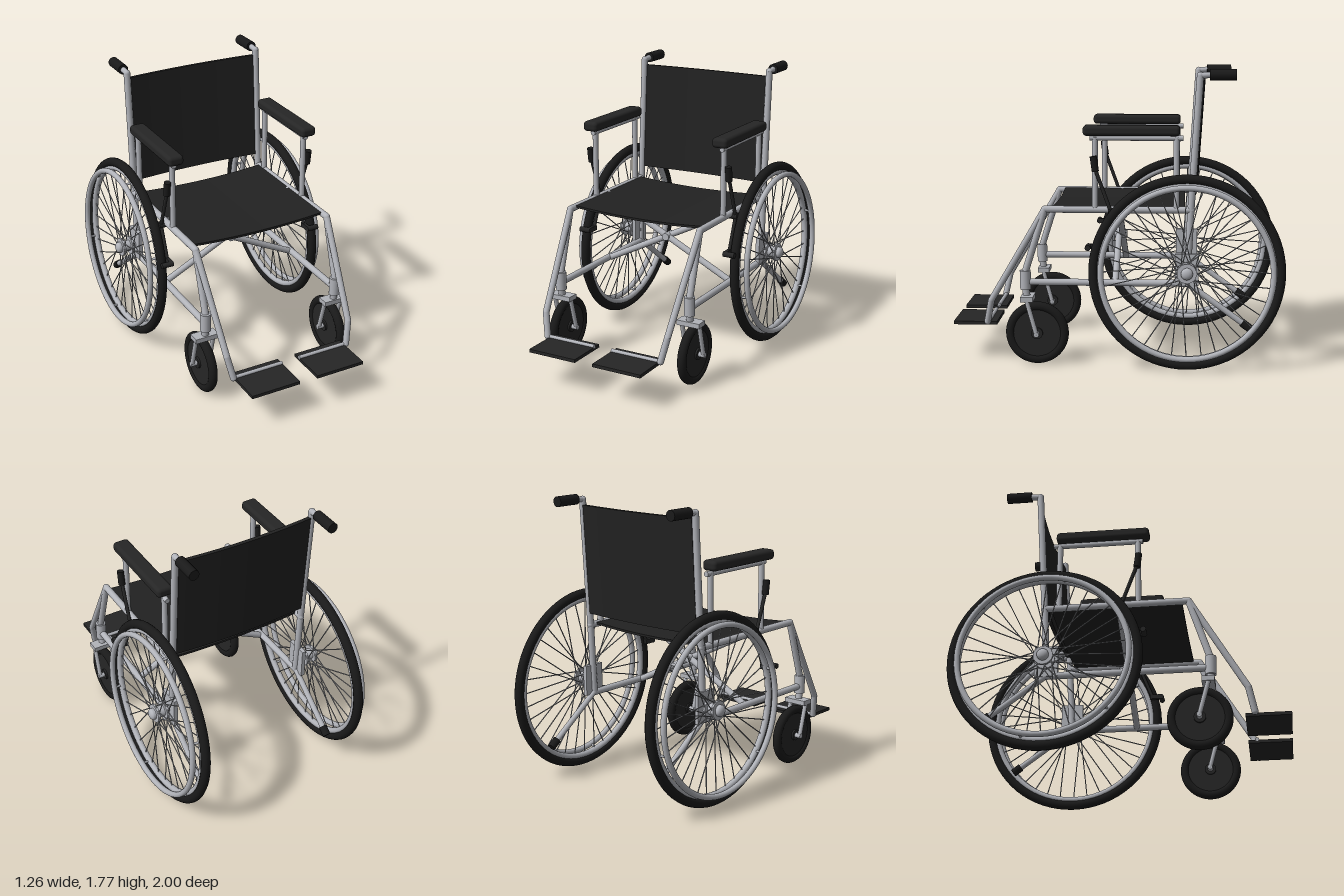
import * as THREE from 'three';
import { RoundedBoxGeometry } from 'three/addons/geometries/RoundedBoxGeometry.js';

const material = (name, color) => {
  const m = new THREE.MeshStandardMaterial({ color });
  m.name = name;
  return m;
};

export function createModel() {
  const steel = material('brushed steel', 0xb2b4ba);
  const rubber = material('black rubber', 0x1a1a1a);
  const fabric = material('black fabric', 0x222222);
  const plastic = material('dark plastic', 0x262626);
  const spokeSteel = material('spoke steel', 0x9a9ca0);
  const V = (x, y, z) => new THREE.Vector3(x, y, z);

  const add = (parent, name, geometry, mat, x = 0, y = 0, z = 0) => {
    const mesh = new THREE.Mesh(geometry, mat);
    mesh.name = name;
    mesh.position.set(x, y, z);
    parent.add(mesh);
    return mesh;
  };
  // Straight round bar between two points
  const rod = (parent, name, a, b, r, mat = steel, sides = 16) => {
    const mesh = add(parent, name, new THREE.CylinderGeometry(r, r, a.distanceTo(b), sides), mat);
    mesh.position.copy(a).add(b).multiplyScalar(0.5);
    mesh.quaternion.setFromUnitVectors(V(0, 1, 0), b.clone().sub(a).normalize());
    return mesh;
  };
  // Bent tube with round joints
  const pipe = (parent, name, points, r, mat = steel) => {
    points.forEach((p, i) => {
      if (i) rod(parent, name, points[i - 1], p, r, mat);
      add(parent, name + 'Joint', new THREE.SphereGeometry(r, 16, 10), mat, p.x, p.y, p.z);
    });
  };
  // Curved sheet of fabric, extruded along z
  const sheet = (halfWidth, bow, thick, depth) => {
    const s = new THREE.Shape();
    s.moveTo(-halfWidth, 0);
    s.quadraticCurveTo(0, bow * 2, halfWidth, 0);
    s.lineTo(halfWidth, thick);
    s.quadraticCurveTo(0, bow * 2 + thick, -halfWidth, thick);
    return new THREE.ExtrudeGeometry(s, { depth, bevelEnabled: false, curveSegments: 20 });
  };

  const model = new THREE.Group();
  model.name = 'wheelchair';

  // Seat and backrest slings
  add(model, 'seat', sheet(0.435, -0.018, 0.014, 0.79), fabric, 0, 0.94, -0.4);
  const back = add(model, 'backrest', sheet(0.435, 0.022, 0.022, 0.68).rotateX(-Math.PI / 2), fabric, 0, 1.02, -0.435);
  back.rotation.x = -0.064;

  // Folding cross brace
  for (const s of [-1, 1]) {
    rod(model, 'crossBar', V(-0.44 * s, 0.94, 0.012 * s), V(0.44 * s, 0.5, 0.012 * s), 0.02);
  }
  rod(model, 'crossPivot', V(0, 0.72, -0.04), V(0, 0.72, 0.04), 0.024);

  // Large rear wheel, axis along local z (outward)
  const driveWheel = (s) => {
    const g = new THREE.Group();
    g.name = s > 0 ? 'leftDriveWheel' : 'rightDriveWheel';
    add(g, 'tyre', new THREE.TorusGeometry(0.551, 0.029, 14, 72), rubber);
    add(g, 'rim', new THREE.TorusGeometry(0.517, 0.02, 12, 72), steel);
    add(g, 'pushRim', new THREE.TorusGeometry(0.505, 0.018, 12, 72), steel, 0, 0, 0.06);
    for (let i = 0; i < 6; i++) {
      const a = (i / 6) * Math.PI * 2 + 0.3, c = Math.cos(a), n = Math.sin(a);
      rod(g, 'pushRimTab', V(0.515 * c, 0.515 * n, 0), V(0.505 * c, 0.505 * n, 0.06), 0.008, steel, 8);
    }
    // Spokes leave the two hub flanges at alternating slants
    for (let i = 0; i < 36; i++) {
      const a = (i / 36) * Math.PI * 2, h = a + (i % 4 < 2 ? 0.9 : -0.9), z = i % 2 ? 0.03 : -0.03;
      rod(g, 'spoke', V(0.045 * Math.cos(h), 0.045 * Math.sin(h), z),
        V(0.51 * Math.cos(a), 0.51 * Math.sin(a), 0), 0.0035, spokeSteel, 6);
    }
    rod(g, 'hub', V(0, 0, -0.05), V(0, 0, 0.05), 0.035, steel, 24);
    for (const z of [-0.03, 0.03]) rod(g, 'hubFlange', V(0, 0, z - 0.008), V(0, 0, z + 0.008), 0.058, steel, 28);
    const cap = add(g, 'hubCap', new THREE.SphereGeometry(0.035, 20, 12), steel, 0, 0, 0.05);
    cap.scale.z = 0.6;
    g.rotation.y = s * Math.PI / 2;
    const camber = new THREE.Group();
    camber.name = 'wheelCamber';
    camber.position.set(0.535 * s, 0.58, -0.415);
    camber.rotation.z = 0.034 * s;
    camber.add(g);
    return camber;
  };

  // Swivelling front wheel and its fork
  const caster = (s) => {
    const g = new THREE.Group();
    g.name = s > 0 ? 'leftCaster' : 'rightCaster';
    const x = 0.45 * s, P = (dx, y, z) => V(x + dx, y, z);
    add(g, 'casterTyre', new THREE.TorusGeometry(0.162, 0.028, 14, 48).rotateY(Math.PI / 2), rubber, x, 0.19, 0.48);
    rod(g, 'casterDisc', P(-0.018, 0.19, 0.48), P(0.018, 0.19, 0.48), 0.155, plastic, 40);
    rod(g, 'casterHub', P(-0.03, 0.19, 0.48), P(0.03, 0.19, 0.48), 0.035, plastic, 24);
    rod(g, 'casterAxle', P(-0.07, 0.19, 0.48), P(0.07, 0.19, 0.48), 0.016);
    for (const d of [-0.058, 0.058]) {
      pipe(g, 'forkLeg', [P(d, 0.39, 0.535), P(d, 0.19, 0.48)], 0.014);
    }
    add(g, 'forkCrown', new THREE.BoxGeometry(0.15, 0.03, 0.075), steel, x, 0.405, 0.535);
    rod(g, 'casterStem', P(0, 0.4, 0.54), P(0, 0.47, 0.55), 0.022);
    rod(g, 'casterBarrel', P(0, 0.455, 0.548), P(0, 0.57, 0.55), 0.033, steel, 20);
    return g;
  };

  for (const s of [-1, 1]) {
    const side = new THREE.Group();
    side.name = s > 0 ? 'leftSide' : 'rightSide';
    model.add(side);
    const P = (x, y, z) => V(x * s, y, z);
    side.add(driveWheel(s), caster(s));

    // Side frame
    pipe(side, 'seatRail', [P(0.45, 0.94, -0.44), P(0.45, 0.94, 0.43)], 0.021);
    pipe(side, 'lowerRail', [P(0.45, 0.5, -0.42), P(0.45, 0.5, 0.54)], 0.021);
    pipe(side, 'frontPost', [P(0.45, 0.94, 0.43), P(0.45, 0.56, 0.55)], 0.021);
    pipe(side, 'backPost', [P(0.45, 0.5, -0.415), P(0.45, 0.95, -0.437), P(0.45, 1.73, -0.485)], 0.021);
    pipe(side, 'pushHandle', [P(0.45, 1.73, -0.485), P(0.45, 1.735, -0.56)], 0.018);
    rod(side, 'handGrip', P(0.45, 1.735, -0.54), P(0.45, 1.735, -0.695), 0.032, rubber, 20);
    add(side, 'axlePlate', new THREE.BoxGeometry(0.025, 0.19, 0.14), steel, 0.46 * s, 0.585, -0.415);
    rod(side, 'axle', P(0.44, 0.58, -0.415), P(0.56, 0.58, -0.415), 0.018);

    // Rear anti-tip bar
    rod(side, 'antiTipBar', P(0.45, 0.5, -0.42), P(0.45, 0.25, -0.765), 0.018);
    rod(side, 'antiTipFoot', P(0.45, 0.265, -0.745), P(0.45, 0.228, -0.795), 0.025, rubber);

    // Armrest
    for (const z of [0.13, -0.35]) rod(side, 'armPost', P(0.45, 0.94, z), P(0.45, 1.37, z), 0.018);
    rod(side, 'armRail', P(0.45, 1.365, 0.16), P(0.45, 1.365, -0.39), 0.016);
    add(side, 'armPad', new RoundedBoxGeometry(0.1, 0.062, 0.57, 3, 0.022), plastic, 0.45 * s, 1.41, -0.085);

    // Wheel brake
    rod(side, 'brakeLever', P(0.485, 0.92, 0.03), P(0.485, 1.18, 0.125), 0.011, plastic);
    rod(side, 'brakeGrip', P(0.485, 1.17, 0.125), P(0.485, 1.26, 0.138), 0.021, rubber);
    rod(side, 'brakePivot', P(0.44, 0.93, 0.03), P(0.5, 0.93, 0.03), 0.022, plastic);
    rod(side, 'brakeLink', P(0.485, 0.93, 0.03), P(0.485, 0.725, 0.11), 0.011, plastic);
    add(side, 'brakeShoe', new THREE.BoxGeometry(0.02, 0.03, 0.08), plastic, 0.485 * s, 0.725, 0.135);
    rod(side, 'brakeBar', P(0.475, 0.725, 0.168), P(0.55, 0.725, 0.168), 0.017, plastic);

    // Footrest
    pipe(side, 'footrestHanger', [P(0.45, 0.94, 0.43), P(0.42, 0.38, 0.76), P(0.392, 0.24, 0.79)], 0.02);
    rod(side, 'footplateBar', P(0.39, 0.24, 0.787), P(0.06, 0.24, 0.787), 0.012);
    add(side, 'footplate', new THREE.BoxGeometry(0.32, 0.02, 0.265), plastic, 0.22 * s, 0.226, 0.8675);
  }
  return model;
}
